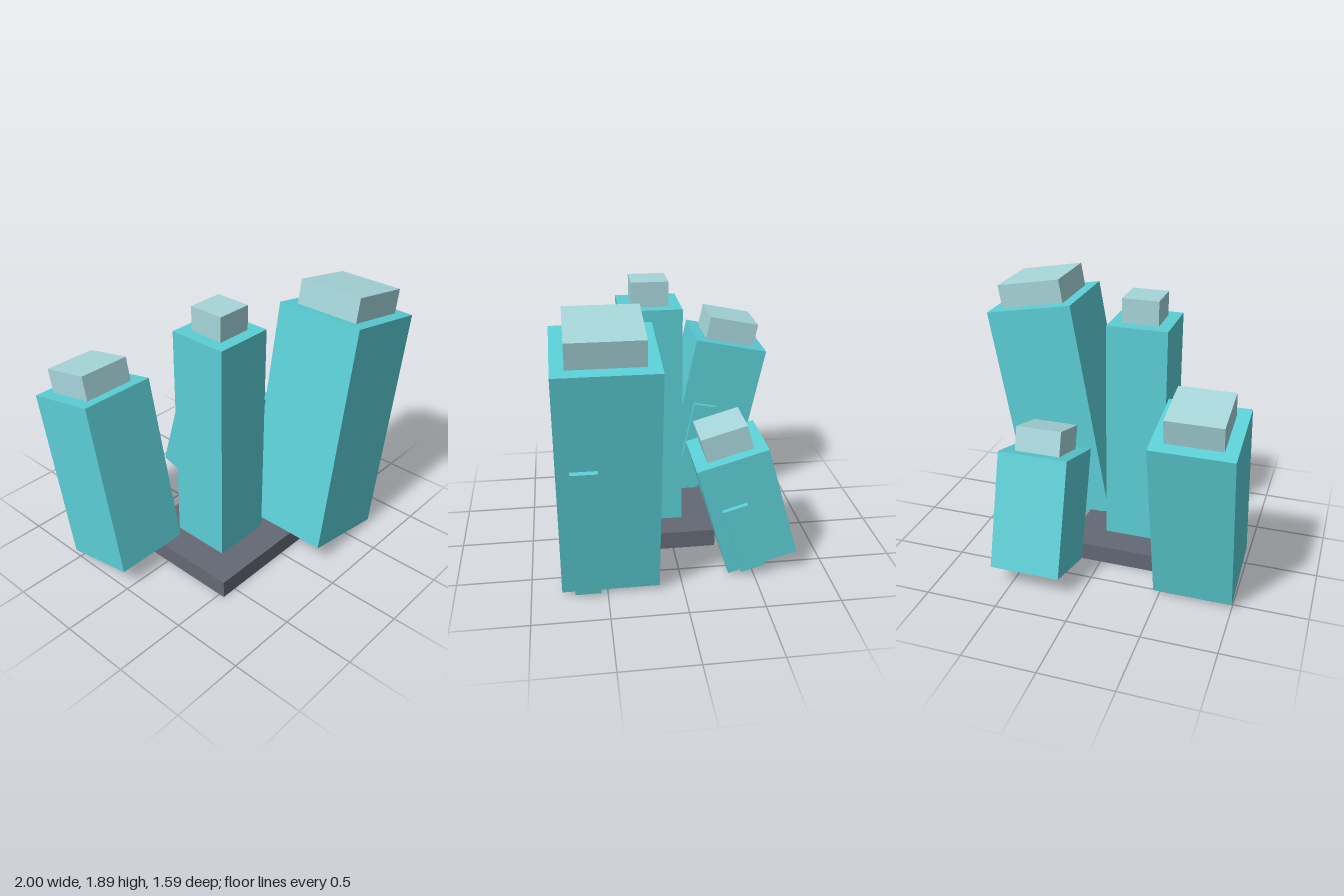
import * as THREE from 'three';

const UNIT = 0.17; // shared size of cap height, strip width and margins

export function createModel() {
  const model = new THREE.Group();
  model.name = 'crystalTowers';

  const teal = new THREE.MeshStandardMaterial({ color: 0x5bcfd6 });
  teal.name = 'teal';
  const pale = new THREE.MeshStandardMaterial({ color: 0xa6d6da });
  pale.name = 'pale teal';
  const slate = new THREE.MeshStandardMaterial({ color: 0x646974 });
  slate.name = 'slate grey';

  // Box standing on height y
  function block(name, material, [w, h, d], [x, y, z]) {
    const mesh = new THREE.Mesh(new THREE.BoxGeometry(w, h, d), material);
    mesh.name = name;
    mesh.position.set(x, y + h / 2, z);
    return mesh;
  }

  // Square tower with a smaller cap and a raised strip on its left side
  function tower(name, width, height, [x, z], tiltX = 0, tiltZ = 0) {
    const group = new THREE.Group();
    group.name = name;
    const capWidth = width - UNIT;
    const stripDepth = 0.034;
    group.add(
      block('shaft', teal, [width, height, width], [0, 0, 0]),
      block('cap', pale, [capWidth, UNIT, capWidth], [0, height, 0]),
      block('sideStrip', teal, [stripDepth, height * 0.6, UNIT],
        [(width + stripDepth) / 2, 0, width / 2 - UNIT]),
    );
    group.position.set(x, 0.085, z);
    group.rotation.set(tiltX, 0, tiltZ);
    model.add(group);
  }

  // Base slab
  model.add(block('base', slate, [0.84, 0.128, 0.84], [-0.19, 0, 0.12]));

  // One upright tower and three leaning ones around it
  tower('centreTower', 0.42, 1.625, [-0.19, 0.12]);
  tower('rightTower', 0.538, 1.217, [-0.731, -0.283], -0.207);
  tower('frontTower', 0.642, 1.62, [0.4, 0.4775], 0, -0.174);
  tower('backTower', 0.489, 0.81, [0.375, -0.56], 0.281);

  return model;
}
